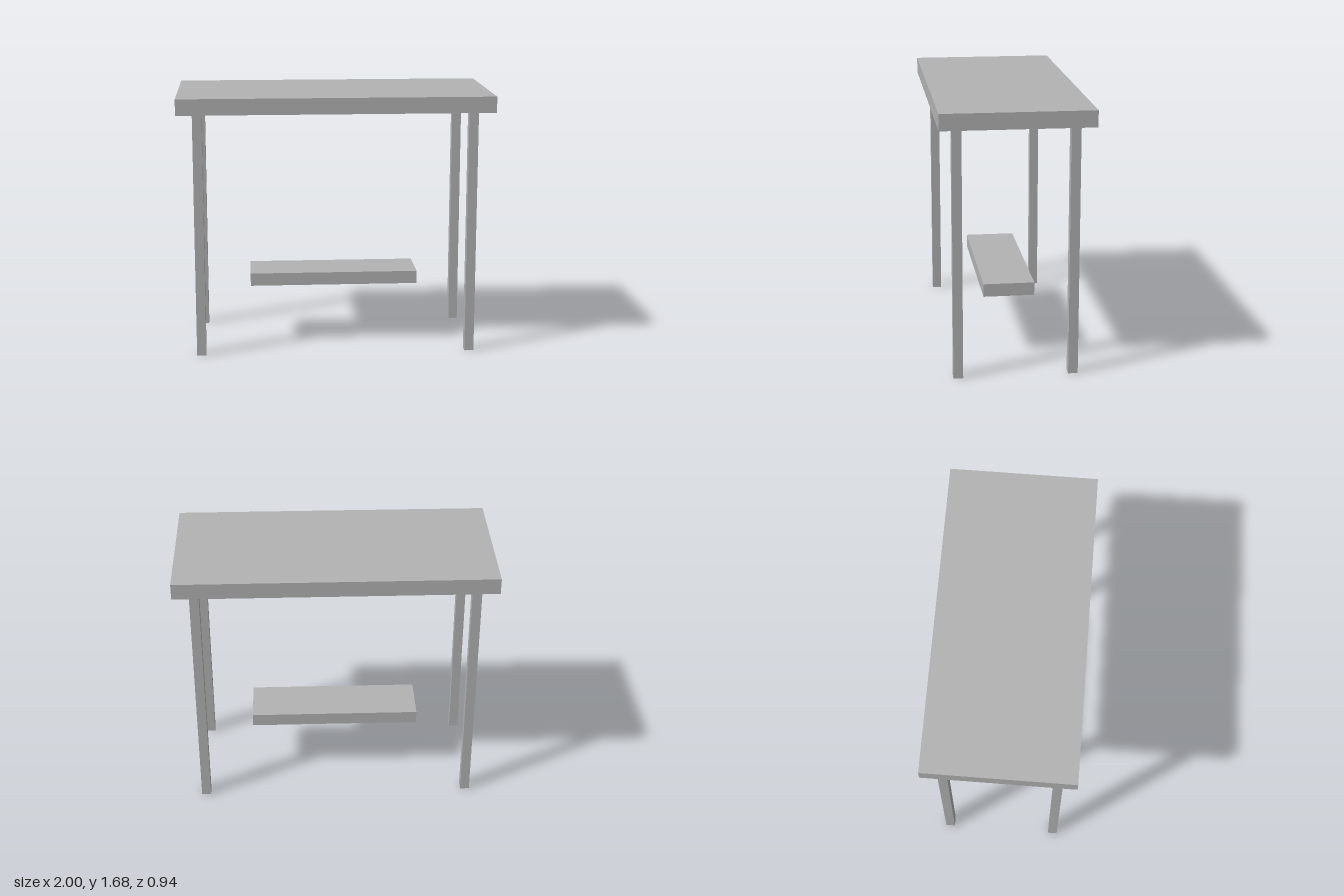
import * as THREE from 'three';

export function createModel() {
  const group = new THREE.Group();
  group.name = 'table';

  const grey = new THREE.MeshStandardMaterial({ color: 0xb2b2b2 });
  grey.name = 'plain grey';

  // Box standing on a given height
  function addBox(name, width, height, depth, x, bottom, z) {
    const mesh = new THREE.Mesh(new THREE.BoxGeometry(width, height, depth), grey);
    mesh.name = name;
    mesh.position.set(x, bottom + height / 2, z);
    group.add(mesh);
  }

  const legHeight = 1.578;

  // Table top
  addBox('tableTop', 2, 0.102, 0.936, 0, legHeight, 0);

  // Four square legs
  for (const [side, sx] of [['Left', 1], ['Right', -1]]) {
    for (const [end, sz] of [['front', 1], ['back', -1]]) {
      addBox(`${end}${side}Leg`, 0.06, legHeight, 0.06, sx * 0.871, 0, sz * 0.357);
    }
  }

  // Low shelf floating between the legs
  addBox('shelf', 1.096, 0.083, 0.325, 0, 0.4, 0);

  return group;
}
